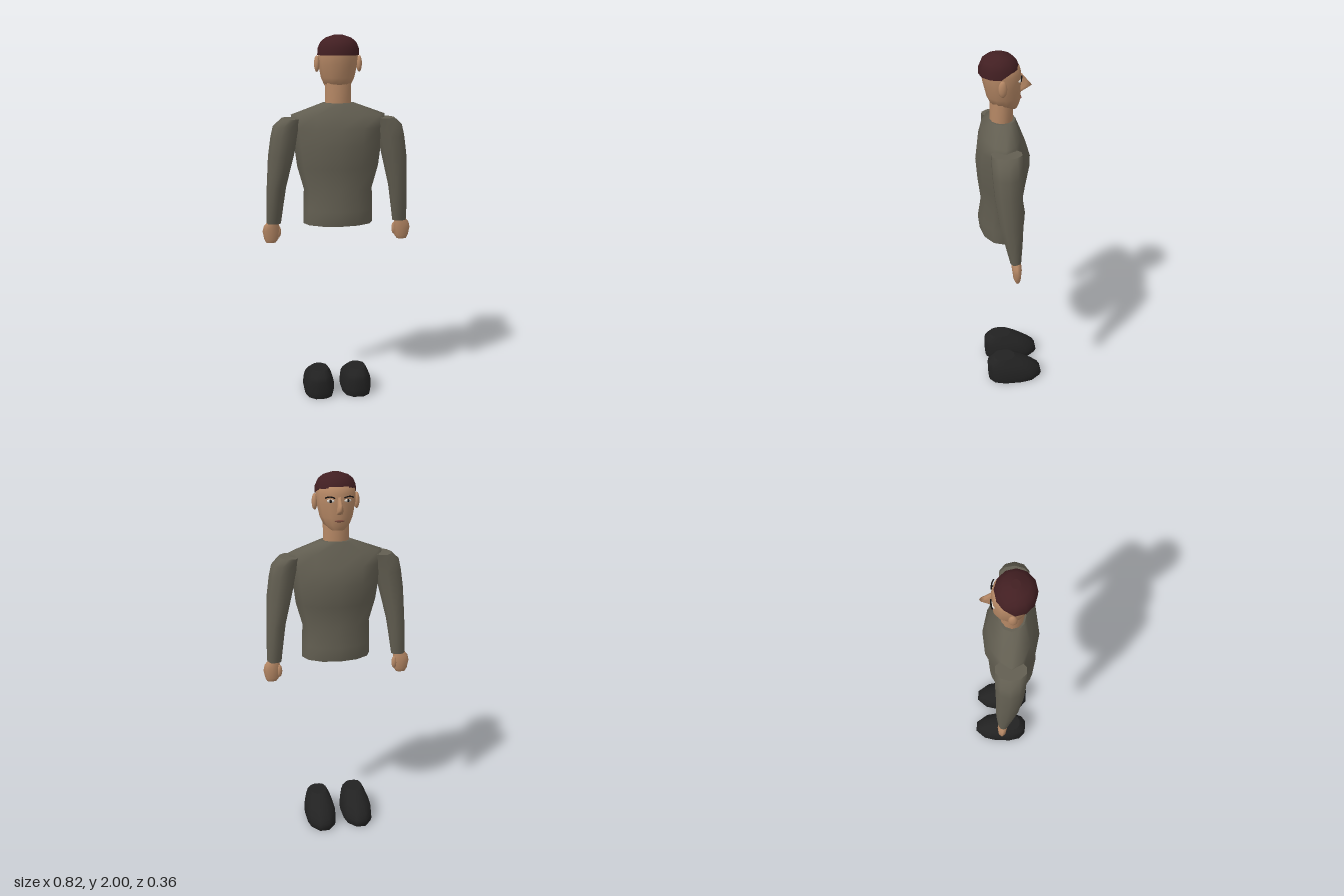
import * as THREE from 'three';

const mat = (name, color) => Object.assign(new THREE.MeshStandardMaterial({ color }), { name });

// Smooth capped loft through elliptical rings [y, x0, x1, z0, z1], listed bottom to top
function loft(rings, n, outline) {
  const pos = [], idx = [];
  const addRing = ([y, x0, x1, z0, z1]) => {
    for (let j = 0; j < n; j++) {
      const a = (j / n) * Math.PI * 2;
      const [u, v] = outline ? outline[j] : [Math.cos(a), Math.sin(a)];
      pos.push((x0 + x1) / 2 + u * Math.abs(x1 - x0) / 2, y, (z0 + z1) / 2 + v * (z1 - z0) / 2);
    }
  };
  rings.forEach(addRing);
  for (let i = 0; i < rings.length - 1; i++) {
    for (let j = 0; j < n; j++) {
      const a = i * n + j, b = i * n + (j + 1) % n, c = a + n, d = b + n;
      idx.push(a, c, b, b, c, d);
    }
  }
  // Flat caps with their own vertices keep the rims sharp
  for (const top of [false, true]) {
    const r = top ? rings[rings.length - 1] : rings[0];
    const s = pos.length / 3;
    addRing(r);
    pos.push((r[1] + r[2]) / 2, r[0], (r[3] + r[4]) / 2);
    for (let j = 0; j < n; j++) {
      const k = (j + 1) % n;
      if (top) idx.push(s + n, s + k, s + j);
      else idx.push(s + n, s + j, s + k);
    }
  }
  const g = new THREE.BufferGeometry();
  g.setAttribute('position', new THREE.Float32BufferAttribute(pos, 3));
  g.setIndex(idx);
  g.computeVertexNormals();
  return g;
}

const mirror = (rings, s) => rings.map(([y, x0, x1, z0, z1]) => [y, s * x0, s * x1, z0, z1]);

export function createModel() {
  const model = new THREE.Group();
  model.name = 'man';
  const sweater = mat('sweater', 0x625e51);
  const skin = mat('skin', 0xb68865);
  const hairMat = mat('hair', 0x421f22);
  const shoeMat = mat('shoe', 0x222222);
  const white = mat('eyeWhite', 0xd8d2ca);
  const dark = mat('dark', 0x141010);
  const lip = mat('lip', 0x7d4c3e);

  const add = (name, geo, material) => {
    const m = new THREE.Mesh(geo, material);
    m.name = name;
    model.add(m);
    return m;
  };
  const blob = (name, material, p, s) => {
    const m = add(name, new THREE.SphereGeometry(1, 12, 8), material);
    m.position.set(...p);
    m.scale.set(...s);
    return m;
  };

  // Torso
  add('torso', loft([
    [1.0, -0.19, 0.19, -0.08, 0.16],
    [1.08, -0.19, 0.19, -0.09, 0.17],
    [1.19, -0.186, 0.186, -0.073, 0.152],
    [1.31, -0.22, 0.22, -0.09, 0.167],
    [1.43, -0.236, 0.236, -0.112, 0.176],
    [1.52, -0.246, 0.246, -0.085, 0.165],
    [1.59, -0.252, 0.252, -0.058, 0.143],
    [1.65, -0.085, 0.085, -0.034, 0.105],
  ], 12), sweater);

  // Neck and head
  add('neck', loft([
    [1.63, -0.07, 0.07, -0.022, 0.097],
    [1.76, -0.07, 0.07, -0.022, 0.097],
  ], 12), skin);
  add('head', loft([
    [1.712, -0.035, 0.035, -0.042, 0.01],
    [1.74, -0.07, 0.07, -0.056, 0.095],
    [1.78, -0.089, 0.089, -0.061, 0.113],
    [1.85, -0.104, 0.104, -0.063, 0.13],
    [1.9, -0.106, 0.106, -0.062, 0.14],
    [1.935, -0.1, 0.1, -0.052, 0.138],
    [1.96, -0.07, 0.07, -0.02, 0.11],
  ], 12), skin);

  // Hair cap, with its lower edge lifted over the forehead
  const hair = loft([
    [1.897, -0.111, 0.111, -0.05, 0.151],
    [1.935, -0.108, 0.108, -0.05, 0.151],
    [1.965, -0.094, 0.094, -0.037, 0.138],
    [1.986, -0.068, 0.068, -0.012, 0.112],
    [2.0, -0.025, 0.025, 0.028, 0.072],
  ], 12);
  const hp = hair.attributes.position;
  for (let i = 0; i < hp.count; i++) {
    if (hp.getY(i) < 1.9 && hp.getZ(i) < 0.02) hp.setY(i, 1.925);
  }
  hair.computeVertexNormals();
  add('hair', hair, hairMat);

  // Face
  add('nose', loft([
    [1.8, -0.018, 0.018, -0.07, -0.04],
    [1.825, -0.017, 0.017, -0.118, -0.04],
    [1.85, -0.013, 0.013, -0.097, -0.04],
    [1.888, -0.01, 0.01, -0.066, -0.04],
  ], 8), skin);
  blob('mouth', lip, [0, 1.765, -0.058], [0.026, 0.006, 0.006]);

  for (const s of [-1, 1]) {
    const side = s > 0 ? 'left' : 'right';
    blob(side + 'Ear', skin, [s * 0.112, 1.853, 0.042], [0.015, 0.043, 0.022]);
    blob(side + 'Eye', white, [s * 0.045, 1.868, -0.05], [0.02, 0.009, 0.008]).rotation.y = s * -0.3;
    blob(side + 'Pupil', dark, [s * 0.045, 1.868, -0.055], [0.008, 0.008, 0.005]);
    const arch = new THREE.QuadraticBezierCurve3(
      new THREE.Vector3(s * 0.024, 1.882, -0.061),
      new THREE.Vector3(s * 0.05, 1.898, -0.064),
      new THREE.Vector3(s * 0.074, 1.884, -0.052));
    add(side + 'Eyebrow', new THREE.TubeGeometry(arch, 6, 0.0035, 5), dark);

    // Sleeve
    add(side + 'Arm', loft(mirror([
      [0.995, 0.31, 0.388, -0.022, 0.036],
      [1.1, 0.295, 0.388, -0.03, 0.062],
      [1.2, 0.28, 0.385, -0.035, 0.085],
      [1.37, 0.238, 0.376, -0.035, 0.11],
      [1.47, 0.215, 0.362, -0.038, 0.118],
      [1.53, 0.2, 0.348, -0.04, 0.12],
      [1.57, 0.192, 0.305, -0.04, 0.12],
    ], s), 10), sweater);

    // Hand and thumb
    add(side + 'Hand', loft(mirror([
      [0.886, 0.34, 0.392, -0.012, 0.012],
      [0.905, 0.325, 0.402, -0.02, 0.02],
      [0.95, 0.318, 0.411, -0.024, 0.026],
      [0.98, 0.32, 0.404, -0.022, 0.03],
      [1.01, 0.325, 0.38, -0.016, 0.03],
    ], s), 8), skin);
    blob(side + 'Thumb', skin, [s * 0.324, 0.945, -0.008], [0.015, 0.035, 0.014]);

    // Shoe, tapered at the toe and rounded at the heel
    const half = [[1, 0.4], [0.8, 0.8], [0.36, 1], [-0.36, 1], [-0.8, 0.8], [-1, 0.4]];
    const front = [[-1, -0.25], [-0.85, -0.65], [-0.33, -1], [0.33, -1], [0.85, -0.65], [1, -0.25]];
    add(side + 'Shoe', loft(mirror([
      [0, 0.027, 0.187, -0.17, 0.13],
      [0.022, 0.023, 0.191, -0.179, 0.136],
      [0.04, 0.024, 0.19, -0.176, 0.137],
      [0.068, 0.025, 0.189, -0.16, 0.137],
      [0.1, 0.033, 0.181, -0.122, 0.137],
      [0.125, 0.044, 0.17, -0.083, 0.133],
      [0.156, 0.06, 0.154, -0.02, 0.1],
    ], s), 12, [...half, ...front]), shoeMat);
  }
  return model;
}
